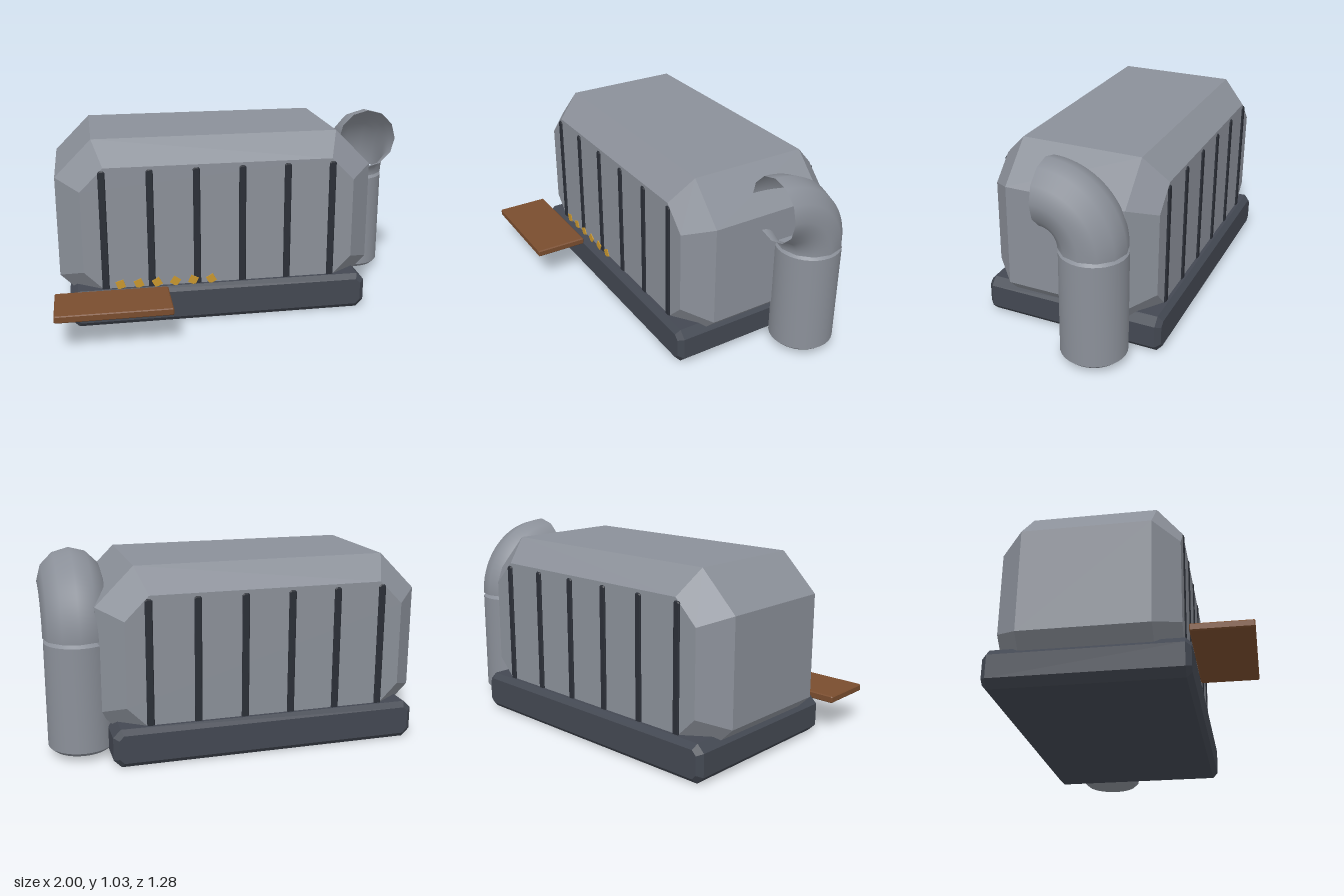
import * as THREE from 'three';
import { toCreasedNormals } from 'three/addons/utils/BufferGeometryUtils.js';

const paint = (color, side = THREE.FrontSide) => new THREE.MeshStandardMaterial({ color, side });

// Block with corners cut by c in the front profile and front/back rims bevelled by b
function chamferedBlock([x0, x1], [y0, y1], [z0, z1], c, b) {
  const shape = new THREE.Shape([
    [x0 + c, y0], [x1 - c, y0], [x1, y0 + c], [x1, y1 - c],
    [x1 - c, y1], [x0 + c, y1], [x0, y1 - c], [x0, y0 + c],
  ].map(([x, y]) => new THREE.Vector2(x, y)));
  const geometry = new THREE.ExtrudeGeometry(shape, {
    depth: z1 - z0 - 2 * b,
    bevelEnabled: true, bevelSegments: 1,
    bevelSize: b, bevelThickness: b, bevelOffset: -b,
  });
  return geometry.translate(0, 0, z0 + b);
}

export function createModel() {
  const model = new THREE.Group();
  const steel = paint(0x8b9099);
  const dark = paint(0x434852);
  const ribDark = paint(0x2b2f37);
  const wood = paint(0x7a4d2e);
  const gold = paint(0xc8962e);

  const add = (name, geometry, material, parent = model) => {
    const mesh = new THREE.Mesh(geometry, material);
    mesh.name = name;
    parent.add(mesh);
    return mesh;
  };

  // Plinth and main housing
  add('base', chamferedBlock([-0.92, 0.7], [0, 0.2], [-0.64, 0.345], 0.04, 0.027), dark);
  add('housing', chamferedBlock([-0.97, 0.75], [0.05, 0.99], [-0.595, 0.3], 0.197, 0.126), steel);

  // Vertical ribs on the front and back faces
  const ribs = new THREE.Group();
  ribs.name = 'ribs';
  model.add(ribs);
  for (let i = 0; i < 6; i++) {
    const x = -0.73 + i * 0.247;
    for (const z of [0.295, -0.591]) {
      add('rib', chamferedBlock([x - 0.019, x + 0.019], [0.18, 0.848], [z - 0.012, z + 0.012], 0.009, 0.005), ribDark, ribs);
    }
  }

  // Upright exhaust pipe with softened rims
  const profile = [[0, 0.03], [0.15, 0.03], [0.171, 0.05], [0.171, 0.6], [0.15, 0.62], [0, 0.62]];
  const pipe = new THREE.LatheGeometry(profile.map(([r, y]) => new THREE.Vector2(r, y)), 32);
  add('exhaustPipe', toCreasedNormals(pipe, 0.6), steel).position.set(0.826, 0, -0.344);

  // Open quarter-turn elbow facing forwards
  const elbow = add('exhaustElbow', new THREE.TorusGeometry(0.244, 0.171, 12, 20, Math.PI / 2),
    paint(0x8b9099, THREE.DoubleSide));
  elbow.rotation.y = Math.PI / 2;
  elbow.position.set(0.828, 0.62, -0.1);

  // Wooden tray beside the base
  add('tray', chamferedBlock([-1, -0.402], [0.172, 0.21], [0.345, 0.638], 0.006, 0.005), wood);

  // Small tilted chips along the foot of the housing
  const chips = new THREE.Group();
  chips.name = 'chips';
  model.add(chips);
  [0.3, 0.4, 0.5, -0.6, -0.45, 0.5].forEach((tilt, i) => {
    const chip = add('chip', new THREE.BoxGeometry(0.044, 0.044, 0.005), gold, chips);
    chip.position.set(-0.653 + i * 0.098, 0.223, 0.313);
    chip.rotation.z = tilt;
  });

  return model;
}
